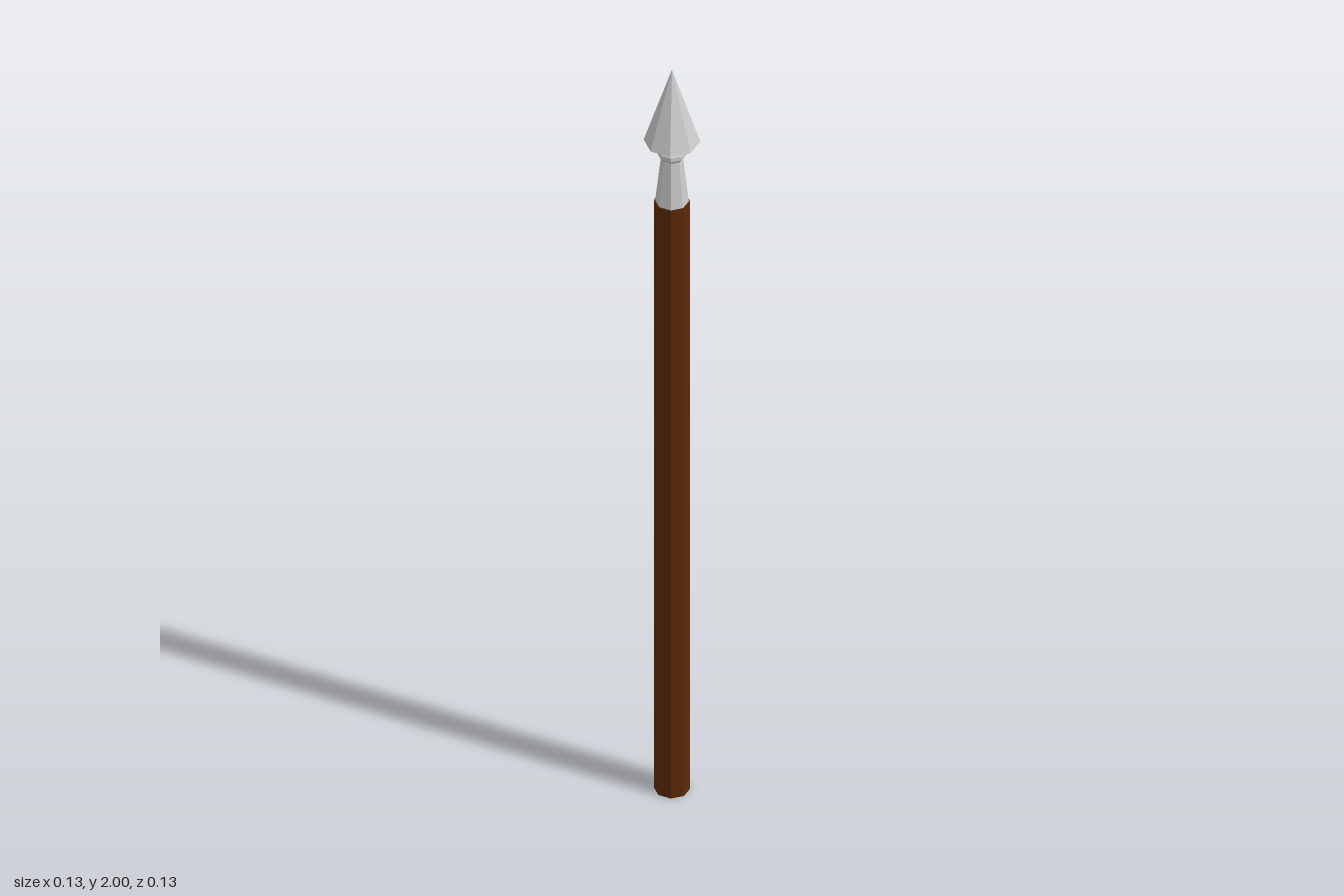
import * as THREE from 'three';

const SIDES = 8;

export function createModel() {
  const spear = new THREE.Group();
  spear.name = 'spear';

  const wood = new THREE.MeshStandardMaterial({ color: 0x5a2a08, flatShading: true });
  const metal = new THREE.MeshStandardMaterial({ color: 0xcccccc, flatShading: true });

  // Turns a [radius, height] profile, listed bottom to top, into a faceted part
  function turned(name, profile, material) {
    const points = profile.map(([r, y]) => new THREE.Vector2(r, y));
    const mesh = new THREE.Mesh(new THREE.LatheGeometry(points, SIDES), material);
    mesh.name = name;
    spear.add(mesh);
  }

  // Wooden pole, closed at both ends
  turned('shaft', [[0, 0], [0.041, 0], [0.041, 1.635], [0, 1.635]], wood);

  // Tapered metal sleeve with a small collar
  turned('socket', [
    [0.038, 1.635], [0.025, 1.755], [0.033, 1.765], [0.033, 1.775], [0.028, 1.782],
  ], metal);

  // Pointed head with a sloped underside
  turned('spearhead', [[0.028, 1.782], [0.037, 1.785], [0.064, 1.802], [0, 2]], metal);

  return spear;
}
